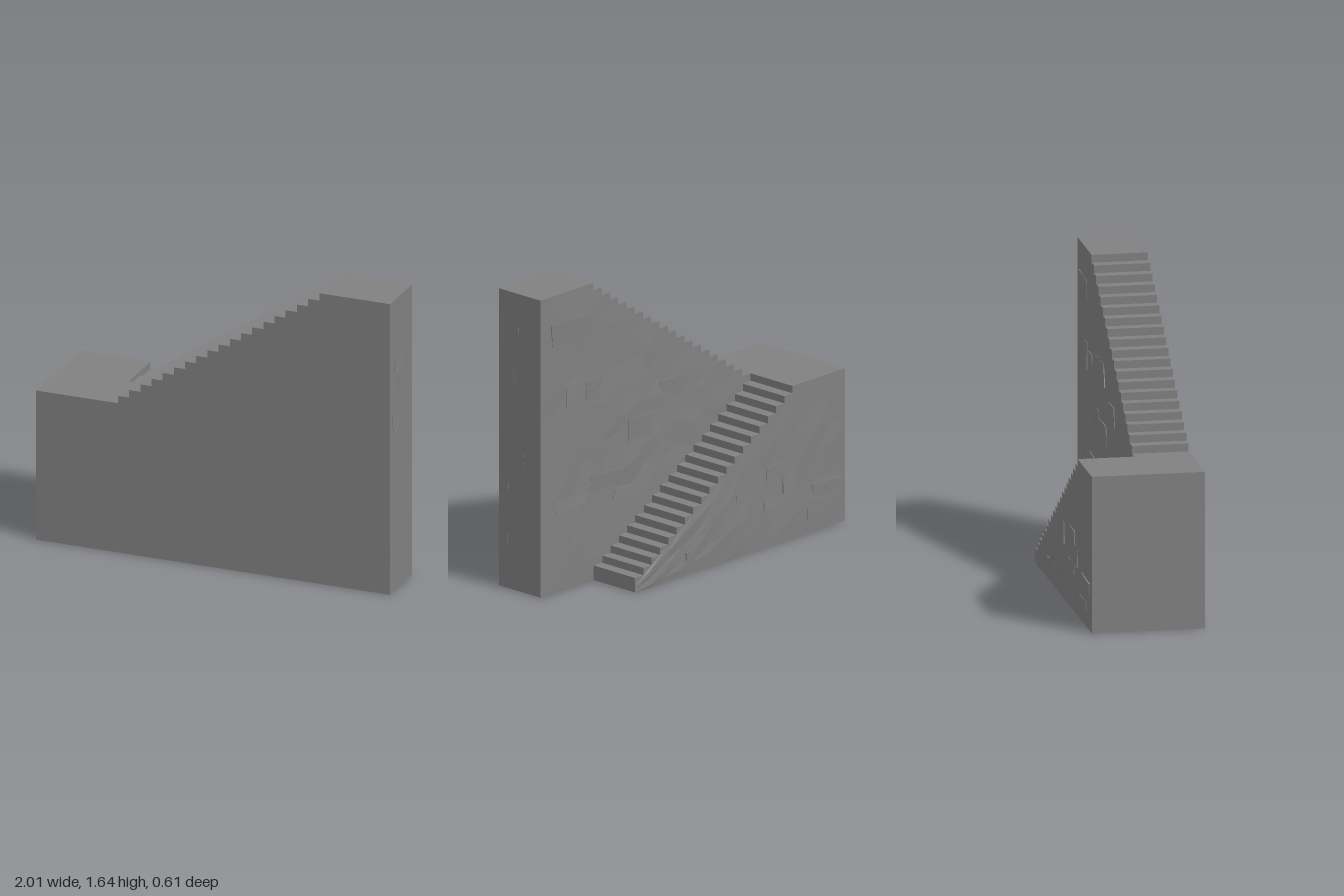
import * as THREE from 'three';

export function createModel() {
  const stone = new THREE.MeshStandardMaterial({ color: 0x808080, flatShading: true });
  stone.name = 'grey stone';
  const model = new THREE.Group();
  model.name = 'stoneStaircase';

  let seed = 7;
  const rand = () => (seed = (seed * 16807) % 2147483647) / 2147483647;

  const STEPS = 19, TREAD = 1.2 / STEPS, LANDING = 0.84, TOP = 1.637;

  // Solid stair block: side profile extruded through its thickness
  function block(name, points, z) {
    const shape = new THREE.Shape(points.map(p => new THREE.Vector2(...p)));
    const geo = new THREE.ExtrudeGeometry(shape, { depth: 0.3, bevelEnabled: false });
    const mesh = new THREE.Mesh(geo, stone);
    mesh.name = name;
    mesh.position.z = z;
    model.add(mesh);
  }

  // Upper flight climbs from the landing to the top platform
  const rise = (TOP - LANDING) / STEPS;
  const upper = [[-1, 0], [1, 0], [1, TOP], [0.6, TOP]];
  for (let k = STEPS - 1; k >= 1; k--) {
    const x = -0.6 + k * TREAD, y = LANDING + k * rise;
    upper.push([x + TREAD, y], [x, y]);
  }
  upper.push([-0.6 + TREAD, LANDING], [-1, LANDING]);
  block('upperFlight', upper, 0);

  // Lower flight climbs the other way to the same landing
  const lower = [[-1, 0], [0.6, 0]];
  for (let k = STEPS - 1; k >= 0; k--) {
    const x = -0.6 + k * TREAD, y = LANDING - 0.04 * (k + 1);
    lower.push([x + TREAD, y], [x, y]);
  }
  lower.push([-0.6, LANDING], [-1, LANDING]);
  block('lowerFlight', lower, -0.3);

  // Uneven faceted skin between two ends, from the floor up to top(u)
  function roughSkin(u0, u1, top, cols, rows, depth) {
    const pos = [], index = [];
    for (let i = 0; i <= cols; i++) {
      for (let j = 0; j <= rows; j++) {
        const edge = i === 0 || j === 0 || i === cols || j === rows;
        const jitter = () => (edge ? 0 : (rand() - 0.5) * 0.6);
        const u = u0 + (u1 - u0) * (i + jitter()) / cols;
        const v = top(u) * (j + jitter()) / rows;
        pos.push(u, v, edge ? 0.0005 : 0.001 + rand() * depth);
        if (i < cols && j < rows) {
          const a = i * (rows + 1) + j, b = a + rows + 1;
          index.push(a, b, b + 1, a, b + 1, a + 1);
        }
      }
    }
    const geo = new THREE.BufferGeometry();
    geo.setAttribute('position', new THREE.Float32BufferAttribute(pos, 3));
    geo.setIndex(index);
    const flat = geo.toNonIndexed();
    flat.computeVertexNormals();
    return new THREE.Mesh(flat, stone);
  }

  // Tilted brick: one edge sinks into the wall, the other stands proud
  function brick(u, v, w, h, depth) {
    const geo = new THREE.BoxGeometry(w, h, 0.04);
    const p = geo.attributes.position;
    const tx = rand() - 0.5, ty = rand() - 0.5, skew = (rand() - 0.5) * 0.25;
    for (let i = 0; i < p.count; i++) {
      const sx = Math.sign(p.getX(i)), sy = Math.sign(p.getY(i));
      if (p.getZ(i) > 0) p.setZ(i, depth * (0.65 + 0.4 * (tx * sx + ty * sy)));
      p.setY(i, p.getY(i) * (1 + skew * sx));
      p.setX(i, p.getX(i) * (1 - skew * sy));
    }
    geo.computeVertexNormals();
    const mesh = new THREE.Mesh(geo, stone);
    mesh.name = 'brick';
    mesh.position.set(u, v, 0);
    return mesh;
  }

  // Wall group in its own frame; bricks are [along, height, width, tall]
  function wall(name, place, turn, sign, range, top, grid, depth, bricks) {
    const g = new THREE.Group();
    g.name = name;
    g.position.set(...place);
    g.rotation.y = turn;
    const skin = roughSkin(...range, top, ...grid, depth * 0.6);
    skin.name = 'roughSkin';
    g.add(skin);
    for (const [a, y, w, h] of bricks) g.add(brick(sign * a, y, w, h, depth));
    model.add(g);
  }

  // Back of the upper flight
  wall('upperBackWall', [0, 0, 0], Math.PI, -1, [-1, 0.6],
    u => Math.min(TOP, LANDING - rise + (0.6 - u) * rise / TREAD), [14, 10], 0.012, [
      [0.81, 1.42, 0.22, 0.12], [0.75, 1.07, 0.12, 0.14], [0.61, 1.05, 0.1, 0.12],
      [0.38, 1.08, 0.34, 0.11], [0.25, 0.76, 0.18, 0.12], [0.01, 0.92, 0.17, 0.1],
      [0.42, 0.83, 0.12, 0.06], [0.78, 0.47, 0.24, 0.06], [0.52, 0.53, 0.2, 0.09],
      [0.34, 0.43, 0.22, 0.06], [0.73, 0.18, 0.06, 0.11],
    ]);

  // Back of the lower flight
  wall('lowerBackWall', [0, 0, -0.3], Math.PI, -1, [-0.6, 1],
    u => Math.min(LANDING, LANDING - 0.04 - (0.6 - u) * 0.04 / TREAD), [14, 6], 0.012, [
      [0.2, 0.1, 0.04, 0.05], [-0.21, 0.36, 0.08, 0.11], [-0.47, 0.4, 0.15, 0.08],
      [-0.45, 0.23, 0.15, 0.06], [-0.57, 0.32, 0.1, 0.11], [-0.85, 0.22, 0.2, 0.08],
      [-0.79, 0.11, 0.17, 0.06],
    ]);

  // Tall end under the top platform
  wall('tallEndWall', [0.996, 0, 0], Math.PI / 2, -1, [-0.3, 0], () => TOP, [4, 12], 0.008, [
    [0.18, 1.4, 0.05, 0.1], [0.18, 1.29, 0.13, 0.1], [0.18, 1.18, 0.03, 0.1],
    [0.22, 0.95, 0.09, 0.1], [0.17, 0.72, 0.1, 0.1], [0.25, 0.52, 0.04, 0.11],
    [0.265, 0.28, 0.06, 0.1], [0.25, 0.165, 0.09, 0.1],
  ]);

  // Low end under the landing, mostly smooth
  wall('lowEndWall', [-0.998, 0, 0], -Math.PI / 2, 1, [-0.3, 0.3], () => LANDING, [3, 3], 0.004, [
    [-0.19, 0.71, 0.12, 0.05], [0.25, 0.4, 0.08, 0.07], [0.1, 0.18, 0.15, 0.04],
  ]);

  return model;
}
